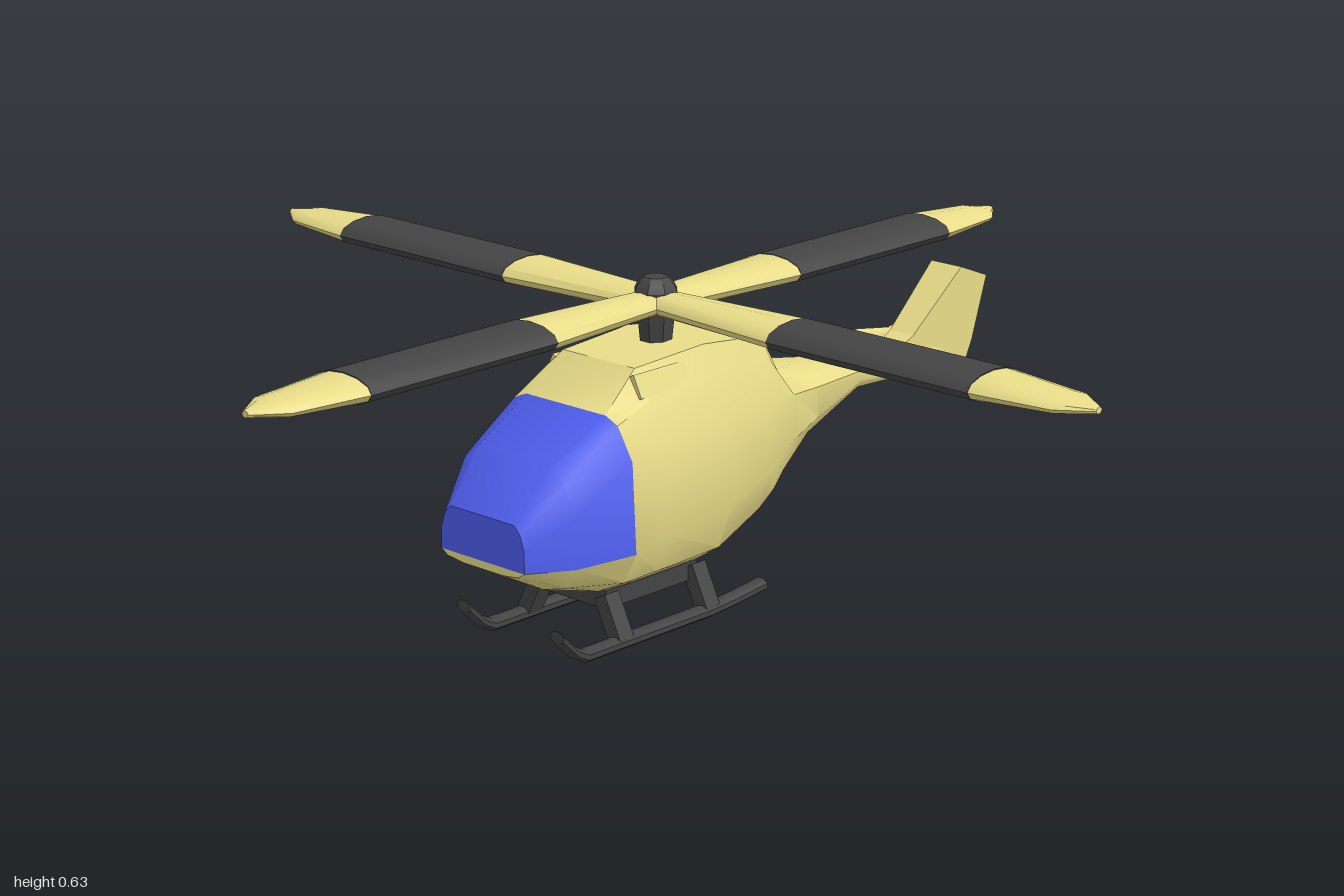
import * as THREE from 'three';
import { toCreasedNormals } from 'three/addons/utils/BufferGeometryUtils.js';

const paint = (color) => new THREE.MeshStandardMaterial({ color });
const YELLOW = paint(0xe8dc88), DARK = paint(0x444444), BLUE = paint(0x4f5ff0);

function add(parent, name, geometry, material) {
  const mesh = new THREE.Mesh(geometry, material);
  mesh.name = name;
  parent.add(mesh);
  return mesh;
}

// Skin over rings of [x, y, z], counterclockwise seen from +z, listed towards +z.
function loft(rings, crease = 0.6) {
  const n = rings[0].length, pos = rings.flat(2), idx = [];
  for (let i = 0; i < rings.length - 1; i++) {
    for (let j = 0; j < n; j++) {
      const k = (j + 1) % n, a = i * n, b = a + n;
      idx.push(a + j, a + k, b + k, a + j, b + k, b + j);
    }
  }
  const last = (rings.length - 1) * n;
  for (let j = 1; j < n - 1; j++) {
    idx.push(0, j + 1, j, last, last + j, last + j + 1);
  }
  const g = new THREE.BufferGeometry();
  g.setAttribute('position', new THREE.Float32BufferAttribute(pos, 3));
  g.setIndex(idx);
  return toCreasedNormals(g, crease);
}

// Mirrors half a cross-section (roof to belly, +x side) into a full ring.
function hullRing([z, ...h], from, to) {
  const pts = [];
  for (let i = from; i < to; i++) pts.push([h[2 * i], h[2 * i + 1], z]);
  return [...pts.slice().reverse(), ...pts.map(([x, y]) => [-x, y, z])];
}
const hull = (sections, from, to) => loft(sections.map((s) => hullRing(s, from, to)));

// One span of a blade with an elliptical section; stations are [z, half chord, half thickness].
function bladeSpan(stations) {
  return loft(stations.map(([z, w, t]) => Array.from({ length: 12 }, (_, i) => {
    const a = (i / 12) * Math.PI * 2;
    return [Math.cos(a) * w, Math.sin(a) * t, z];
  })), 0.7);
}

function mainBlade() {
  const g = new THREE.Group();
  g.name = 'mainBlade';
  add(g, 'bladeRoot', bladeSpan([[0.01, 0.04, 0.022], [0.33, 0.07, 0.026]]), YELLOW);
  add(g, 'bladeBand', bladeSpan([[0.33, 0.071, 0.027], [0.78, 0.071, 0.027]]), DARK);
  add(g, 'bladeTip', bladeSpan([[0.78, 0.07, 0.025], [0.94, 0.052, 0.015], [1, 0.008, 0.006]]), YELLOW);
  return g;
}

function tailBlade() {
  const g = new THREE.Group();
  g.name = 'tailBlade';
  add(g, 'tailBladeRoot', bladeSpan([[0, 0.015, 0.012], [0.11, 0.033, 0.02]]), YELLOW);
  add(g, 'tailBladeTip', bladeSpan([[0.11, 0.034, 0.021], [0.16, 0.032, 0.018], [0.205, 0.025, 0.012], [0.22, 0.014, 0.005]]), DARK);
  return g;
}

// Each row: z, then x, y of roof, shoulder, side, sill, chine and belly.
const TAIL_TO_CABIN = [
  [-0.84, 0.015, 0.37, 0.03, 0.36, 0.035, 0.34, 0.035, 0.31, 0.03, 0.295, 0.015, 0.287],
  [-0.66, 0.015, 0.37, 0.03, 0.365, 0.035, 0.35, 0.035, 0.325, 0.03, 0.31, 0.015, 0.302],
  [-0.52, 0.02, 0.372, 0.04, 0.367, 0.05, 0.355, 0.05, 0.335, 0.04, 0.32, 0.02, 0.314],
  [-0.34, 0.04, 0.4, 0.07, 0.39, 0.095, 0.37, 0.095, 0.31, 0.07, 0.275, 0.04, 0.265],
  [-0.245, 0.05, 0.415, 0.085, 0.405, 0.118, 0.38, 0.122, 0.295, 0.095, 0.23, 0.05, 0.205],
  [-0.2, 0.075, 0.495, 0.1, 0.45, 0.132, 0.39, 0.136, 0.28, 0.11, 0.205, 0.06, 0.178],
  [-0.15, 0.09, 0.505, 0.115, 0.46, 0.145, 0.385, 0.15, 0.265, 0.118, 0.18, 0.07, 0.145],
  [-0.02, 0.095, 0.52, 0.122, 0.465, 0.16, 0.38, 0.17, 0.235, 0.135, 0.14, 0.08, 0.105],
  [0.155, 0.09, 0.51, 0.125, 0.455, 0.166, 0.37, 0.175, 0.215, 0.143, 0.14, 0.08, 0.105],
  [0.24, 0.1, 0.443, 0.13, 0.43, 0.166, 0.37, 0.175, 0.2, 0.145, 0.14, 0.08, 0.108],
];
const NOSE = [
  TAIL_TO_CABIN[9],
  [0.37, 0.09, 0.375, 0.125, 0.35, 0.15, 0.29, 0.155, 0.2, 0.13, 0.16, 0.07, 0.143],
  [0.45, 0.08, 0.285, 0.095, 0.27, 0.105, 0.24, 0.105, 0.2, 0.09, 0.19, 0.05, 0.185],
];

export function createModel() {
  const model = new THREE.Group();
  model.name = 'helicopter';

  // Fuselage with tail boom, blue windscreen and the nose under it
  add(model, 'fuselage', hull(TAIL_TO_CABIN, 0, 6), YELLOW);
  add(model, 'windscreen', hull(NOSE, 0, 4), BLUE);
  add(model, 'noseUnderside', hull(NOSE, 3, 6), YELLOW);

  // Engine intakes beside the roof hump
  for (const s of [-1, 1]) {
    const intake = add(model, 'engineIntake', new THREE.BoxGeometry(0.025, 0.045, 0.13), YELLOW);
    intake.position.set(s * 0.1, 0.477, 0.105);
    intake.rotation.z = s * 0.45;
  }

  // Swept tail fin, thicker towards its trailing edge
  const outline = [[0.66, 0.365], [0.7, 0.385], [0.835, 0.5], [0.91, 0.47], [0.872, 0.345], [0.845, 0.285], [0.66, 0.302]];
  const fin = new THREE.ExtrudeGeometry(new THREE.Shape(outline.map(([u, v]) => new THREE.Vector2(u, v))),
    { depth: 1, bevelEnabled: false }).translate(0, 0, -0.5).rotateY(Math.PI / 2);
  const p = fin.attributes.position;
  for (let i = 0; i < p.count; i++) {
    p.setX(i, p.getX(i) * THREE.MathUtils.mapLinear(-p.getZ(i), 0.66, 0.91, 0.055, 0.085));
  }
  fin.computeVertexNormals();
  add(model, 'tailFin', fin, YELLOW);

  // Main rotor: four blades around a mast with a cap
  const rotor = new THREE.Group();
  rotor.name = 'mainRotor';
  rotor.position.set(0, 0.588, 0.005);
  for (let i = 0; i < 4; i++) {
    const blade = mainBlade();
    blade.rotation.y = i * Math.PI / 2;
    if (i % 2 === 0) blade.scale.z = 0.975;
    rotor.add(blade);
  }
  const mast = [[0, -0.085], [0.03, -0.085], [0.036, -0.03], [0.042, 0.022], [0.036, 0.034], [0.022, 0.047], [0, 0.047]];
  add(rotor, 'mast', toCreasedNormals(new THREE.LatheGeometry(mast.map(([x, y]) => new THREE.Vector2(x, y)), 8, Math.PI / 8), 0.5), DARK);
  model.add(rotor);

  // Tail rotor: two level blades on a short shaft
  const tailRotor = new THREE.Group();
  tailRotor.name = 'tailRotor';
  tailRotor.position.set(-0.09, 0.35, -0.77);
  for (const turn of [0, Math.PI]) {
    const blade = tailBlade();
    blade.rotation.set(turn, 0, Math.PI / 2, 'XYZ');
    tailRotor.add(blade);
  }
  const shaft = add(tailRotor, 'tailShaft', new THREE.CylinderGeometry(0.014, 0.014, 0.08, 8), DARK);
  shaft.rotation.z = Math.PI / 2;
  shaft.position.x = 0.02;
  model.add(tailRotor);

  // Landing gear: belly plate, splayed struts and upturned skids
  const gear = new THREE.Group();
  gear.name = 'landingGear';
  add(gear, 'bellyPlate', new THREE.BoxGeometry(0.17, 0.035, 0.24), DARK).position.set(0, 0.088, 0.105);
  const skidSide = [[-0.155, 0.03], [-0.08, 0.022], [-0.01, 0.017], [0.32, 0.017], [0.345, 0.03], [0.385, 0.068]];
  for (const s of [-1, 1]) {
    const skid = skidSide.map(([z, y]) => {
      const w = 0.018, h = 0.013;
      return Array.from({ length: 8 }, (_, i) => {
        const a = (i + 0.5) * Math.PI / 4;
        return [s * 0.119 + Math.cos(a) * w, y + Math.sin(a) * h, z];
      });
    });
    add(gear, 'skid', loft(skid, 0.9), DARK);
    for (const z of [0.22, -0.01]) {
      const strut = add(gear, 'strut', new THREE.BoxGeometry(0.03, 0.09, 0.036), DARK);
      strut.position.set(s * 0.1, 0.057, z);
      strut.rotation.z = s * 0.45;
    }
  }
  model.add(gear);

  return model;
}
